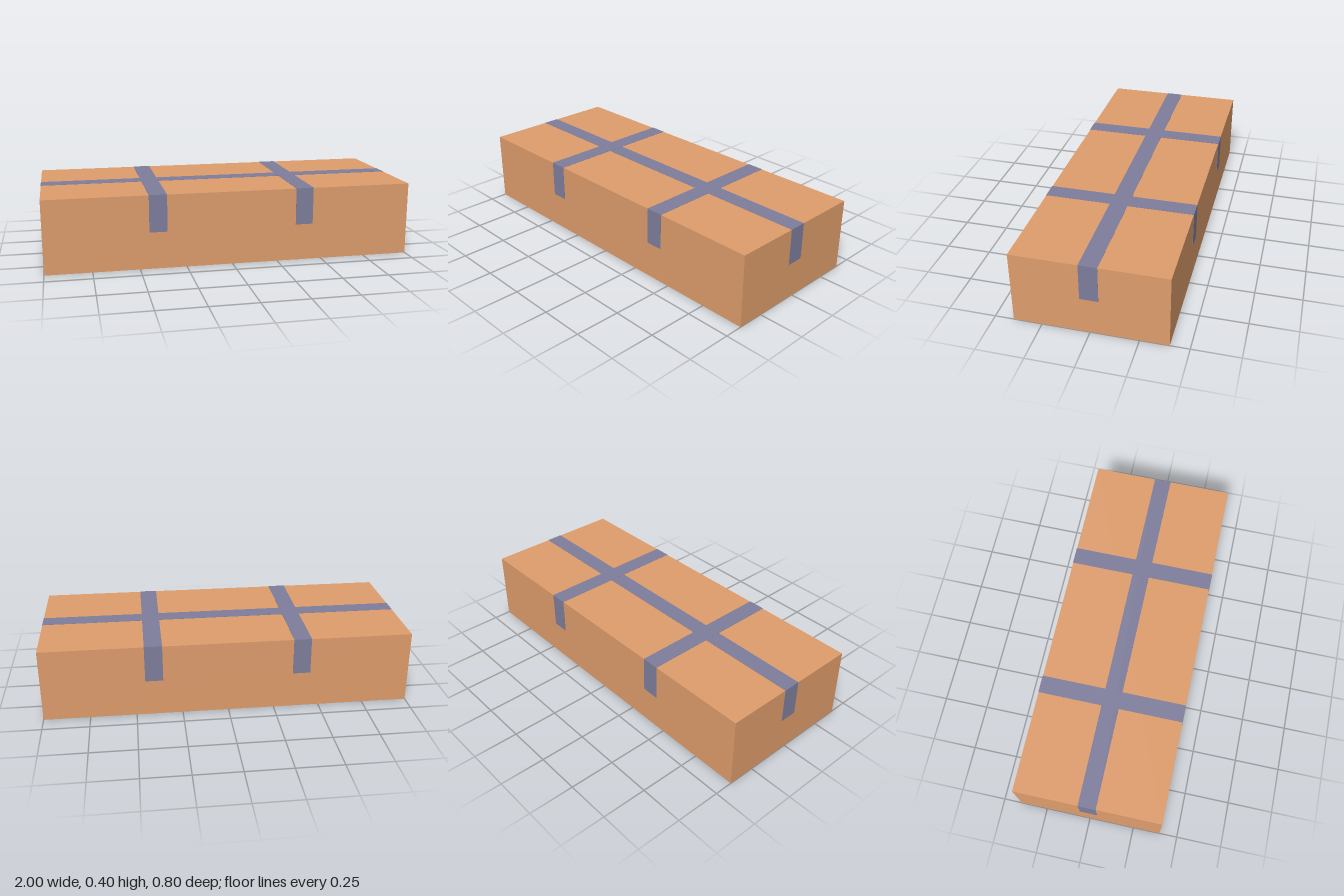
import * as THREE from 'three';

const LENGTH = 2, HEIGHT = 0.4, DEPTH = 0.8;
const TAPE_WIDTH = 0.096, TAPE_DROP = 0.2;

const cardboard = new THREE.MeshStandardMaterial({ color: 0xdd9c6b });
const tapeBlue = new THREE.MeshStandardMaterial({ color: 0x7d7d9c });

function box(name, material, size, position) {
  const mesh = new THREE.Mesh(new THREE.BoxGeometry(...size), material);
  mesh.name = name;
  mesh.position.set(...position);
  return mesh;
}

// Tape strip running along x over the lid, folded down both ends
function tapeStrip(name, span, thickness) {
  const strip = new THREE.Group();
  strip.name = name;
  strip.add(box('tapeTop', tapeBlue,
    [span + 2 * thickness, thickness, TAPE_WIDTH], [0, HEIGHT + thickness / 2, 0]));
  for (const side of [-1, 1]) {
    strip.add(box('tapeEnd', tapeBlue,
      [thickness, TAPE_DROP, TAPE_WIDTH],
      [side * (span + thickness) / 2, HEIGHT - TAPE_DROP / 2, 0]));
  }
  return strip;
}

export function createModel() {
  const model = new THREE.Group();
  model.name = 'parcel';
  model.add(box('carton', cardboard, [LENGTH, HEIGHT, DEPTH], [0, HEIGHT / 2, 0]));

  // One strip lengthwise, two laid across it
  model.add(tapeStrip('lengthwiseTape', LENGTH, 0.001));
  for (const x of [-0.4, 0.4]) {
    const strip = tapeStrip('crossTape', DEPTH, 0.0015);
    strip.rotation.y = Math.PI / 2;
    strip.position.x = x;
    model.add(strip);
  }
  return model;
}
